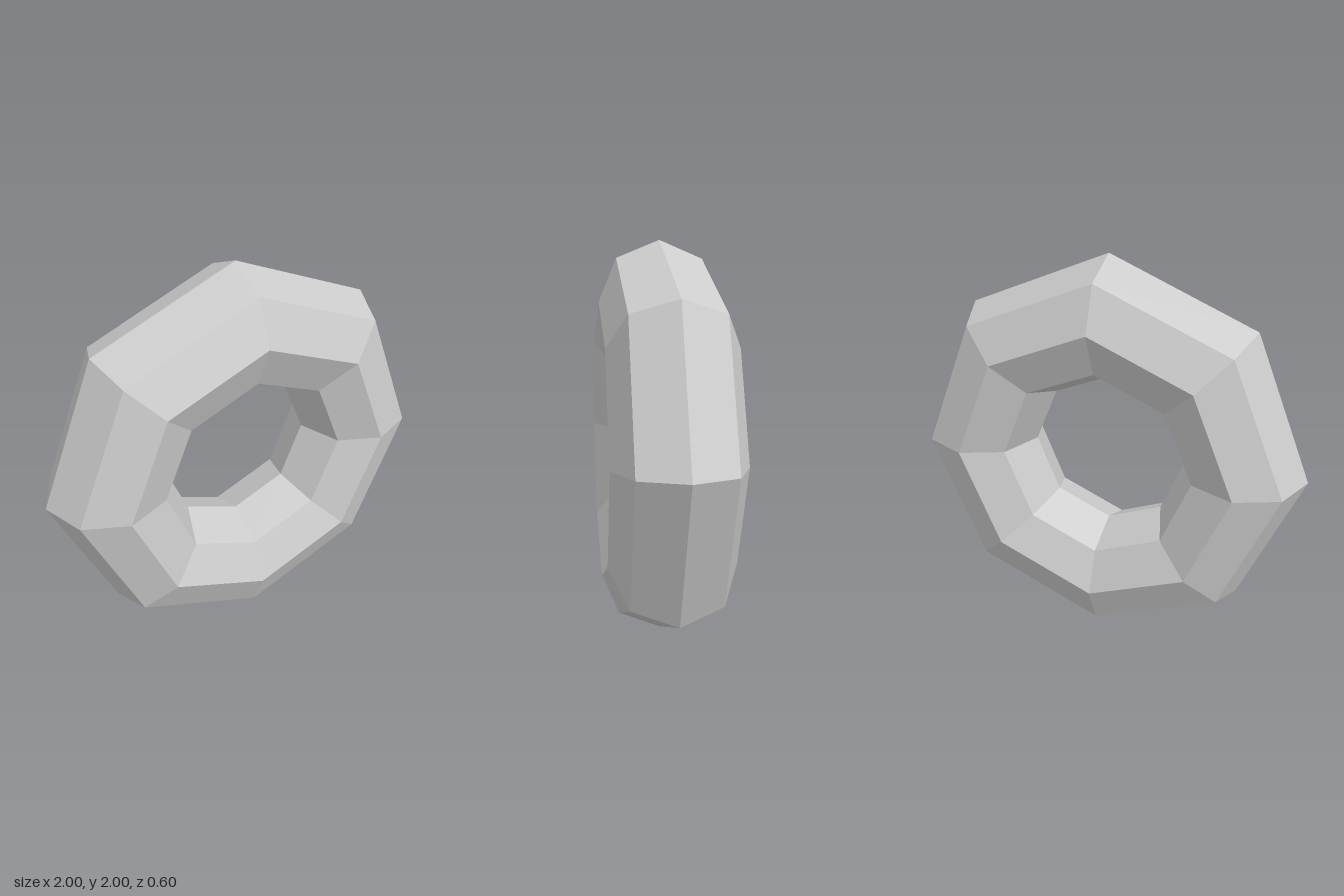
import * as THREE from 'three';

export function createModel() {
  const model = new THREE.Group();
  model.name = 'lowPolyRing';

  // Eight-sided ring with an eight-sided tube, standing on one corner
  const material = new THREE.MeshStandardMaterial({ color: 0xcccccc, flatShading: true });
  const ring = new THREE.Mesh(new THREE.TorusGeometry(0.7, 0.3, 8, 8), material);
  ring.name = 'ring';
  ring.position.y = 1;
  model.add(ring);

  return model;
}
